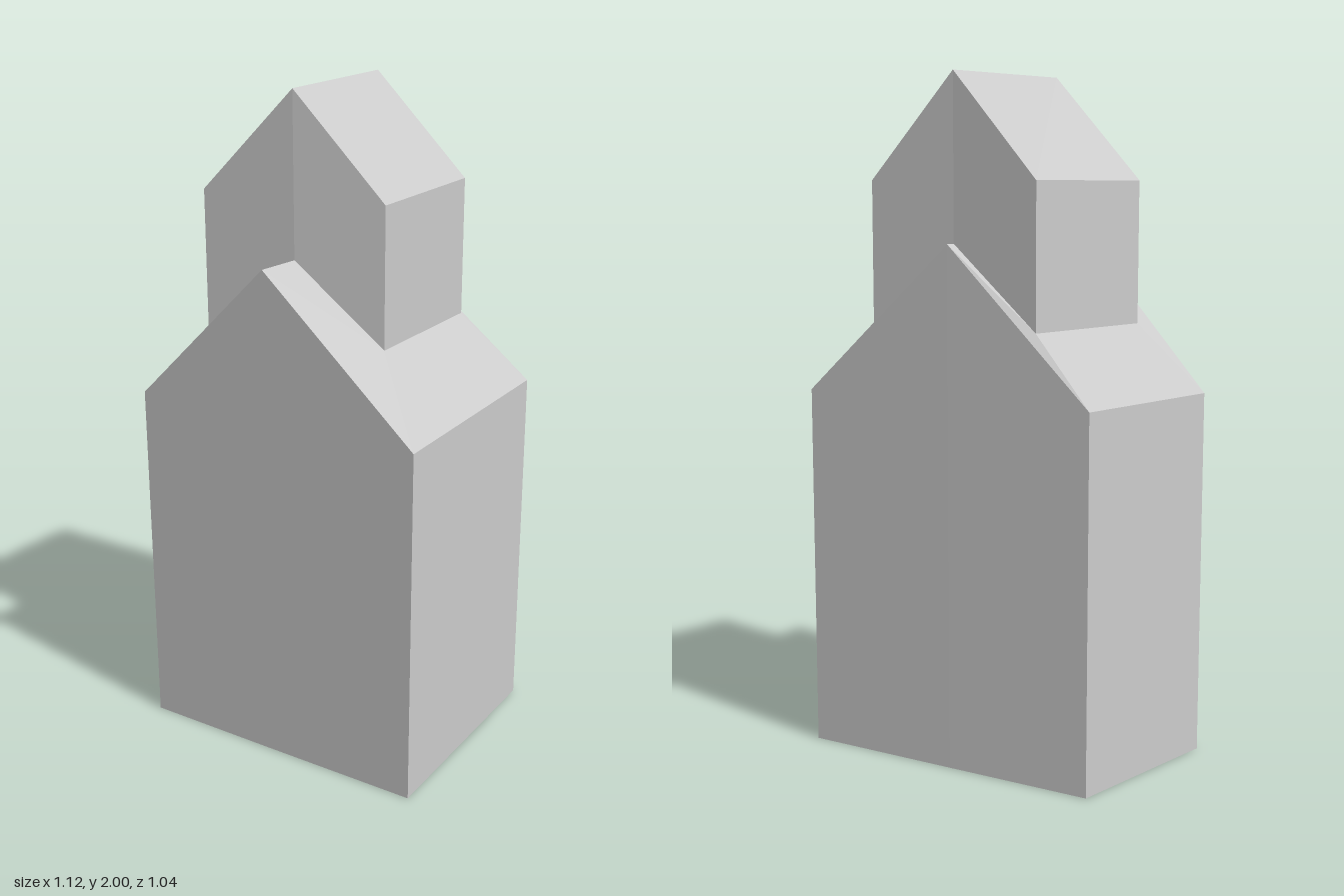
import * as THREE from 'three';

// Rings of six points, counter-clockwise from above: two front eave corners,
// right gable peak, two rear eave corners, left gable peak.
const HOUSE = [[0, 0.52], [0.56, 0.08], [0.198, -0.231], [-0.14, -0.52], [-0.56, -0.22], [-0.295, 0.132]];
const TOWER = [[0.027, 0.235], [0.383, -0.03], [0.175, -0.205], [-0.02, -0.393], [-0.375, -0.15], [-0.178, 0.064]];

const isPeak = (i) => i % 3 === 2;
const ring = (plan, eave, peak) => plan.map(([x, z], i) => new THREE.Vector3(x, isPeak(i) ? peak : eave, z));

// Quads running around between two rings
const band = (low, high) => low.map((p, i) => {
  const j = (i + 1) % low.length;
  return [p, low[j], high[j], high[i]];
});

// The two slopes of a gable roof
const slopes = (r) => [[r[0], r[1], r[2], r[5]], [r[3], r[4], r[5], r[2]]];

function part(name, quads, material) {
  const points = quads.flatMap(([a, b, c, d]) => [a, b, c, a, c, d]);
  const geometry = new THREE.BufferGeometry().setFromPoints(points);
  geometry.computeVertexNormals();
  const mesh = new THREE.Mesh(geometry, material);
  mesh.name = name;
  return mesh;
}

export function createModel() {
  const group = new THREE.Group();
  group.name = 'gabledHouse';
  const material = new THREE.MeshStandardMaterial({ color: 0xcccccc, flatShading: true });

  const base = ring(HOUSE, 0, 0);
  const houseTop = ring(HOUSE, 1.087, 1.525);
  const towerFoot = ring(TOWER, 1.288, 1.525); // straddles the house ridge
  const towerTop = ring(TOWER, 1.7, 2);

  group.add(
    part('floor', [[base[4], base[3], base[1], base[0]]], material),
    part('houseWalls', band(base, houseTop), material),
    part('houseRoof', band(houseTop, towerFoot), material),
    part('upperWalls', band(towerFoot, towerTop), material),
    part('upperRoof', slopes(towerTop), material),
  );
  return group;
}
